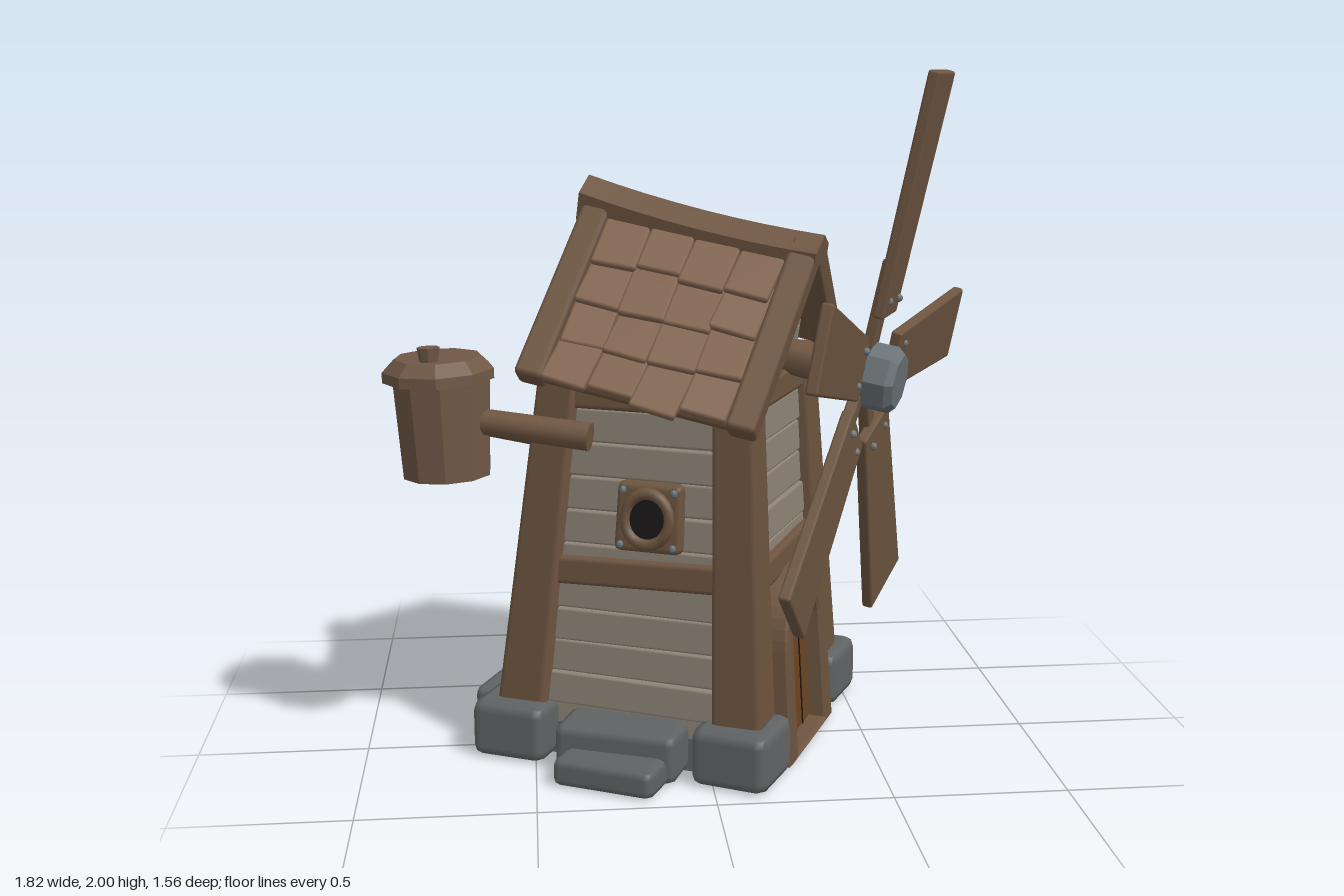
import * as THREE from 'three';
import { RoundedBoxGeometry } from 'three/addons/geometries/RoundedBoxGeometry.js';

const mat = (color, flat = false) => new THREE.MeshStandardMaterial({ color, flatShading: flat });
const wood = mat(0x6e5540), shingle = mat(0x82654f), plaster = mat(0x8f8578), stone = mat(0x606364),
  metal = mat(0x6a7378, true), doorWood = mat(0x6e4420), dark = mat(0x1c181a), cask = mat(0x705846, true);

let seed = 7;
const jitter = (a) => {
  seed = (seed * 16807) % 2147483647;
  return (seed / 2147483647 - 0.5) * 2 * a;
};

const block = (w, h, d, r = 0.015) => new RoundedBoxGeometry(w, h, d, 1, Math.min(r, w / 3, h / 3, d / 3));

function add(parent, name, geo, material, x = 0, y = 0, z = 0) {
  const mesh = new THREE.Mesh(geo, material);
  mesh.name = name;
  mesh.position.set(x, y, z);
  parent.add(mesh);
  return mesh;
}

// Moves the vertices of a geometry by a rule
function warp(geo, rule) {
  const p = geo.attributes.position, v = new THREE.Vector3();
  for (let i = 0; i < p.count; i++) {
    rule(v.fromBufferAttribute(p, i));
    p.setXYZ(i, v.x, v.y, v.z);
  }
  return geo;
}

// The tower narrows towards the top and leans a little
const lean = (v) => {
  const s = 1.06 - 0.225 * v.y;
  v.x = v.x * s + 0.055 * v.y;
  v.z = v.z * s + 0.075 * v.y;
};

// Places a part on tower side k (0 +z, 1 +x, 2 -z, 3 -x)
function onSide(tower, k, name, geo, material, x, y, z) {
  geo.translate(x, y, z).rotateY(k * Math.PI / 2);
  return add(tower, name, warp(geo, lean), material);
}

function arch(r, spring, hole) {
  const s = new THREE.Shape();
  s.moveTo(-r, 0).lineTo(r, 0).lineTo(r, spring).absarc(0, spring, r, 0, Math.PI, false).lineTo(-r, 0);
  if (hole) {
    const h = new THREE.Path();
    h.moveTo(-hole, 0.002).lineTo(hole, 0.002).lineTo(hole, spring).absarc(0, spring, hole, 0, Math.PI, false).lineTo(-hole, 0.002);
    s.holes.push(h);
  }
  return s;
}

function buildWindow(tower, k, x, y) {
  onSide(tower, k, 'windowPlate', block(0.225, 0.205, 0.06, 0.02), wood, x, y, 0.37);
  onSide(tower, k, 'windowRing', new THREE.TorusGeometry(0.075, 0.018, 8, 20), wood, x, y, 0.402);
  onSide(tower, k, 'windowHole', new THREE.CylinderGeometry(0.07, 0.07, 0.01, 20).rotateX(Math.PI / 2), dark, x, y, 0.4);
  for (const a of [-1, 1]) for (const b of [-1, 1])
    onSide(tower, k, 'windowRivet', new THREE.SphereGeometry(0.012, 8, 6), metal, x + a * 0.088, y + b * 0.08, 0.4);
}

function buildTower(tower) {
  onSide(tower, 0, 'core', new THREE.BoxGeometry(0.69, 1.12, 0.69), plaster, 0, 0.6, 0);
  add(tower, 'foundation', new THREE.BoxGeometry(0.74, 0.1, 0.74), stone, 0, 0.05, 0);
  for (let k = 0; k < 4; k++) {
    // siding and cross beams
    for (let i = 0; i < 10; i++)
      onSide(tower, k, 'plank', block(0.6, 0.098, 0.03, 0.008).rotateZ(jitter(0.012)), plaster,
        0, 0.21 + i * 0.1, 0.346 + jitter(0.005));
    onSide(tower, k, 'middleBeam', block(0.62, 0.085, 0.08).rotateZ(jitter(0.03)), wood, 0, 0.585, 0.345);
    onSide(tower, k, 'topBeam', block(0.62, 0.08, 0.08), wood, 0, 1.1, 0.345);
  }
  for (const a of [-1, 1]) for (const b of [-1, 1]) {
    const top = 1.2 - 0.045 * a - 0.035 * b;
    onSide(tower, 0, 'cornerPost', block(0.15, top - 0.1, 0.15, 0.02), wood, a * 0.328, (top + 0.1) / 2, b * 0.328);
    const s = add(tower, 'cornerStone', block(0.235, 0.175, 0.235, 0.035), stone, a * 0.345, 0.0875, b * 0.365);
    s.rotation.y = jitter(0.08);
  }
  buildWindow(tower, 0, 0.04, 0.76);
  buildWindow(tower, 2, -0.04, 0.82);
  buildWindow(tower, 3, 0, 0.8);

  // stone steps on the three sides without a door
  for (const k of [0, 2, 3]) {
    const steps = new THREE.Group();
    steps.name = 'stoneSteps';
    steps.rotation.y = k * Math.PI / 2;
    tower.add(steps);
    add(steps, 'upperStep', block(0.37, 0.15, 0.2, 0.03), stone, 0, 0.075, 0.41).rotation.y = jitter(0.05);
    add(steps, 'lowerStep', block(0.31, 0.085, 0.2, 0.025), stone, 0.01, 0.0425, 0.51).rotation.y = jitter(0.06);
  }

  // arched door
  const frame = { depth: 0.105, bevelEnabled: true, bevelSize: 0.008, bevelThickness: 0.008, bevelSegments: 1, curveSegments: 10 };
  const cut = { depth: 0.05, bevelEnabled: false, curveSegments: 10 };
  onSide(tower, 1, 'doorFrame', new THREE.ExtrudeGeometry(arch(0.205, 0.345, 0.152), frame), wood, -0.025, 0.008, 0.325);
  onSide(tower, 1, 'door', new THREE.ExtrudeGeometry(arch(0.152, 0.345), cut), doorWood, -0.025, 0.004, 0.335);
  for (const x of [-0.074, 0, 0.074])
    onSide(tower, 1, 'doorGroove', new THREE.BoxGeometry(0.006, 0.45, 0.004), dark, x - 0.025, 0.23, 0.386);
}

function buildRoof(tower) {
  const roof = new THREE.Group();
  roof.name = 'roof';
  roof.position.set(0.075, 1.17, 0.085);
  roof.rotation.set(0.13, 0, -0.185);
  tower.add(roof);

  // gable walls close the space below the slopes
  const gable = new THREE.Shape();
  gable.moveTo(-0.28, -0.1).lineTo(0.28, -0.1).lineTo(0.28, 0.1).lineTo(0, 0.38).lineTo(-0.28, 0.12);
  const body = new THREE.ExtrudeGeometry(gable, { depth: 0.56, bevelEnabled: false });
  add(roof, 'gable', body.translate(0, 0, -0.3).rotateY(Math.PI / 2), plaster);
  for (const e of [-1, 1]) for (let i = 0; i < 3; i++)
    add(roof, 'gablePlank', block(0.02, 0.098, 0.48 - i * 0.14, 0.006), plaster, e * 0.28 - 0.02, 0.05 + i * 0.1, 0);

  // the +z slope is a little steeper than the other
  [0.435, 0.4].forEach((run, side) => {
    const turn = new THREE.Group();
    turn.name = 'roofSide';
    turn.rotation.y = (1 - side) * Math.PI;
    roof.add(turn);
    const slope = new THREE.Group();
    slope.name = 'roofSlope';
    slope.position.y = 0.4;
    slope.rotation.x = Math.atan2(0.405, run);
    turn.add(slope);
    add(slope, 'deck', block(0.67, 0.04, 0.585), wood, 0, 0, 0.29);
    for (const e of [-1, 1])
      add(slope, 'rakeBoard', block(0.085, 0.08, 0.605), wood, e * 0.312, 0.01, 0.29);
    // overlapping shingles
    for (let r = 0; r < 4; r++) for (let c = 0; c < 4; c++) {
      const t = add(slope, 'shingle', block(0.136 + jitter(0.005), 0.026, 0.175, 0.01), shingle,
        (c - 1.5) * 0.134, 0.028 + jitter(0.006), 0.115 + r * 0.131 + jitter(0.014));
      t.rotation.set(-0.13, jitter(0.06), jitter(0.03));
    }
  });
  // ridge beam, sagging in the middle
  const ridge = warp(new THREE.BoxGeometry(0.72, 0.08, 0.13, 8, 1, 2), (v) => {
    if (Math.abs(v.z) > 0.01) v.y -= 0.04;
    v.y += 0.13 * v.x * v.x - 0.03 * v.x;
  }).toNonIndexed();
  ridge.computeVertexNormals();
  add(roof, 'ridgeBeam', ridge, wood, -0.005, 0.41, 0);
}

function buildRotor(tower) {
  const rotor = new THREE.Group();
  rotor.name = 'rotor';
  rotor.position.set(0.637, 1.13, -0.002);
  rotor.rotation.set(0, -0.04, -0.155);
  tower.add(rotor);
  add(rotor, 'axle', new THREE.CylinderGeometry(0.05, 0.06, 0.42, 8).rotateZ(Math.PI / 2), wood, -0.21, 0, 0);
  add(rotor, 'hub', new THREE.CylinderGeometry(0.1, 0.1, 0.07, 8).rotateZ(Math.PI / 2), metal, 0.01, 0, 0);
  add(rotor, 'hubCap', new THREE.CylinderGeometry(0.1, 0.08, 0.02, 8).rotateZ(Math.PI / 2), metal, 0.055, 0, 0);
  const angles = [-1.5, 74, 136, 209, 274], tips = [0.885, 0.735, 0.8, 0.87, 0.775];
  angles.forEach((deg, i) => {
    // the sails reach slightly forward
    const arm = new THREE.Group();
    arm.name = 'sail';
    arm.rotation.set(THREE.MathUtils.degToRad(deg), 0, -0.055);
    rotor.add(arm);
    const len = tips[i] - 0.18;
    const board = warp(block(0.035, len, 0.21, 0.008), (v) => { v.z *= 1 + 0.13 * v.y / (len / 2); });
    add(arm, 'sailBoard', board, wood, -0.027, 0.18 + len / 2, 0).rotation.y = 0.06;
    add(arm, 'sailSpar', block(0.035, 0.34, 0.055, 0.008), wood, -0.045, 0.17, 0);
    for (const z of [-0.05, 0.05])
      add(arm, 'sailBolt', new THREE.SphereGeometry(0.012, 8, 6), metal, -0.008, 0.23, z);
  });
}

function pole(parent, name, from, to) {
  const a = new THREE.Vector3(...from), b = new THREE.Vector3(...to), d = b.clone().sub(a);
  const mesh = add(parent, name, new THREE.CylinderGeometry(0.038, 0.042, d.length(), 10), wood);
  mesh.position.copy(a).addScaledVector(d, 0.5);
  mesh.quaternion.setFromUnitVectors(new THREE.Vector3(0, 1, 0), d.normalize());
}

// Lidded bucket held by two poles
function buildBucket(root) {
  pole(root, 'backPole', [-0.41, 0.86, -0.4], [-0.74, 1.02, 0]);
  pole(root, 'frontPole', [-0.33, 0.99, 0.2], [-0.72, 1.03, 0.08]);
  const bucket = new THREE.Group();
  bucket.name = 'bucket';
  bucket.position.set(-0.745, 0.86, 0.065);
  bucket.rotation.z = 0.03;
  root.add(bucket);
  add(bucket, 'tub', new THREE.CylinderGeometry(0.143, 0.128, 0.29, 10), cask, 0.008, 0.145, 0);
  add(bucket, 'lid', new THREE.CylinderGeometry(0.16, 0.16, 0.03, 9), cask, 0, 0.295, 0).scale.z = 1.08;
  add(bucket, 'lidTop', new THREE.CylinderGeometry(0.125, 0.16, 0.035, 9), cask, 0, 0.327, 0).scale.z = 1.08;
  add(bucket, 'knob', new THREE.CylinderGeometry(0.032, 0.024, 0.05, 8), cask, -0.02, 0.36, 0.08);
}

export function createModel() {
  const root = new THREE.Group();
  root.name = 'windmill';
  const tower = new THREE.Group();
  tower.name = 'tower';
  tower.position.set(-0.07, 0, -0.155);
  tower.rotation.y = -THREE.MathUtils.degToRad(25);
  root.add(tower);
  buildTower(tower);
  buildRoof(tower);
  buildRotor(tower);
  buildBucket(root);
  return root;
}
